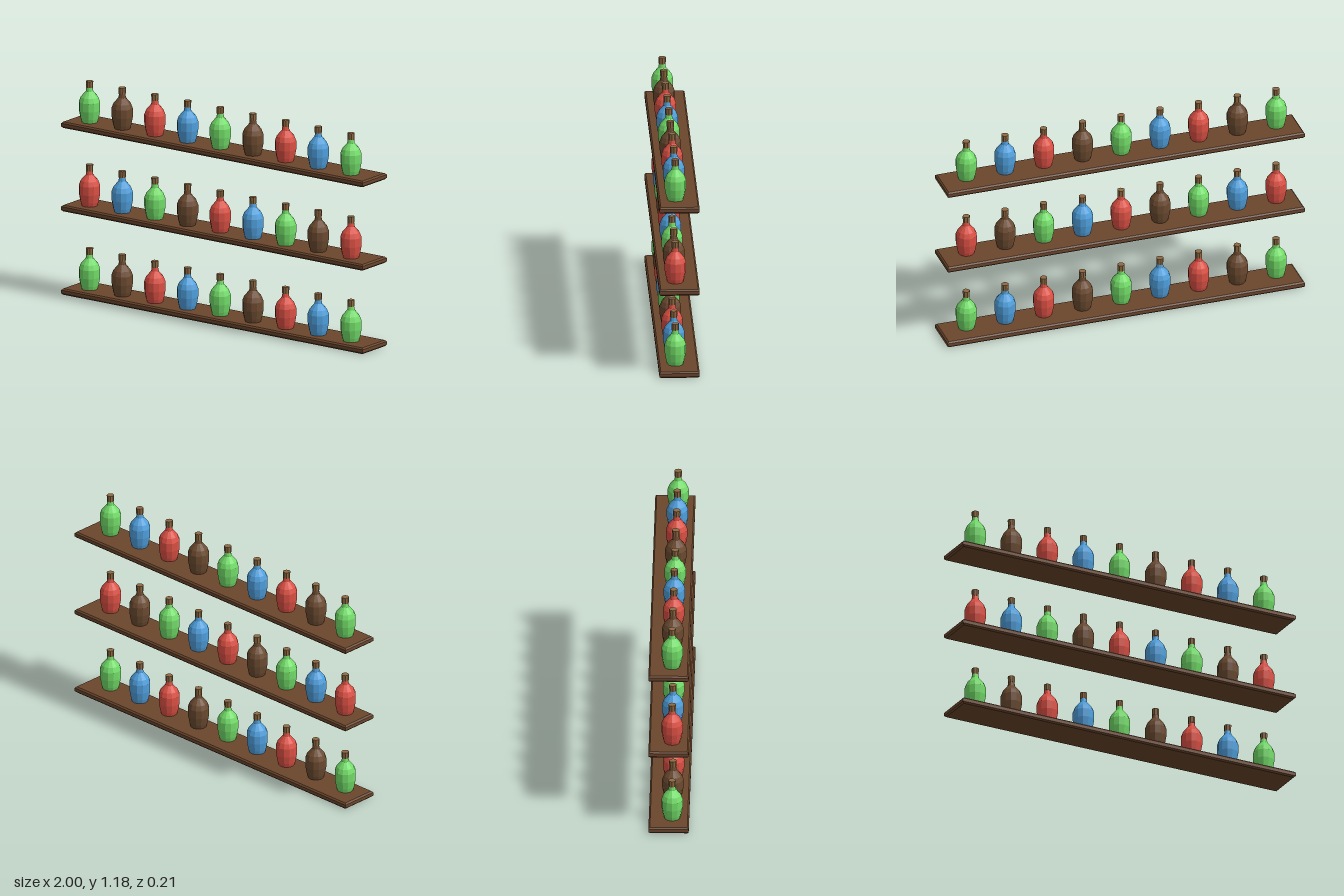
import * as THREE from 'three';

const flat = (name, color) => {
  const m = new THREE.MeshStandardMaterial({ color });
  m.name = name;
  m.flatShading = true;
  return m;
};

export function createModel() {
  const wood = flat('shelf wood', 0x6b462c);
  const cork = flat('cork', 0x8f6a43);
  const green = flat('green glass', 0x72dc68);
  const brown = flat('brown glass', 0x6b4a30);
  const red = flat('red glass', 0xdb5044);
  const blue = flat('blue glass', 0x4f9fdc);

  // Plank with chamfered edges, standing on y = 0
  const bevel = 0.008, w = 1 - bevel, d = 0.107 - bevel, thick = 0.034;
  const outline = new THREE.Shape();
  outline.moveTo(-w, -d).lineTo(w, -d).lineTo(w, d).lineTo(-w, d).closePath();
  const plankGeo = new THREE.ExtrudeGeometry(outline, {
    depth: thick - 2 * bevel, bevelEnabled: true,
    bevelSize: bevel, bevelThickness: bevel, bevelSegments: 1,
  });
  plankGeo.rotateX(-Math.PI / 2).translate(0, bevel, 0);

  // Faceted bottle: tapered foot, straight body, shoulder, neck
  const profile = [
    [0, 0], [0.042, 0], [0.049, 0.022], [0.057, 0.066], [0.057, 0.112],
    [0.047, 0.138], [0.02, 0.17], [0.017, 0.192], [0, 0.192],
  ].map(([r, y]) => new THREE.Vector2(r, y));
  const bottleGeo = new THREE.LatheGeometry(profile, 12);
  const corkGeo = new THREE.CylinderGeometry(0.02, 0.019, 0.035, 8);
  corkGeo.translate(0, 0.2075, 0);

  const model = new THREE.Group();
  model.name = 'bottleShelves';
  const add = (parent, geo, mat, name) => {
    const mesh = new THREE.Mesh(geo, mat);
    mesh.name = name;
    parent.add(mesh);
  };

  // Three shelves, nine bottles each
  const outer = [green, brown, red, blue];
  const middle = [red, blue, green, brown];
  [outer, middle, outer].forEach((colours, row) => {
    const shelf = new THREE.Group();
    shelf.name = 'shelf';
    shelf.position.y = row * 0.459;
    add(shelf, plankGeo, wood, 'plank');
    for (let i = 0; i < 9; i++) {
      const bottle = new THREE.Group();
      bottle.name = 'bottle';
      bottle.position.set(-0.012 + (i - 4) * 0.2168, thick, 0.017);
      add(bottle, bottleGeo, colours[i % 4], 'glass');
      add(bottle, corkGeo, cork, 'stopper');
      shelf.add(bottle);
    }
    model.add(shelf);
  });
  return model;
}
